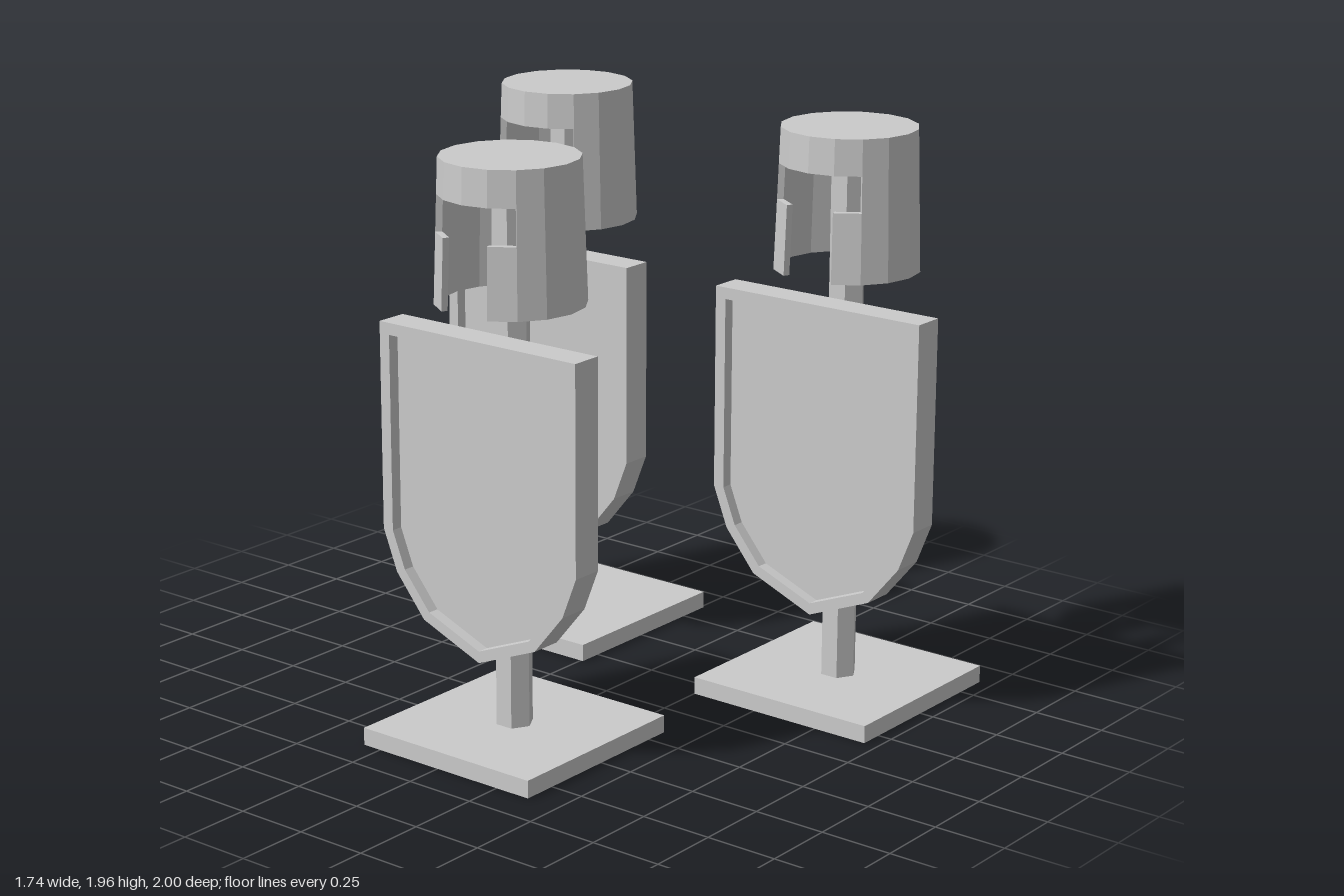
import * as THREE from 'three';

const material = new THREE.MeshStandardMaterial({ color: 0xcccccc, flatShading: true });
const SIDES = 16;        // facets around a helmet
const WALL = 0.022;      // helmet wall thickness
const HELMET_Y = 1.485, HELMET_TOP = 1.96;

function add(parent, name, geometry, x = 0, y = 0, z = 0) {
  const mesh = new THREE.Mesh(geometry, material);
  mesh.name = name;
  mesh.position.set(x, y, z);
  parent.add(mesh);
  return mesh;
}

// Helmet radius narrows towards the crown
const radiusAt = (y) => THREE.MathUtils.mapLinear(y, HELMET_Y, HELMET_TOP, 0.245, 0.228);

// Thick faceted wall between two heights, covering `count` facets from facet `start`
function wallBand(y0, y1, start, count) {
  const pos = [], index = [];
  for (let i = 0; i <= count; i++) {
    const a = ((start + i) / SIDES) * Math.PI * 2;
    const corners = [
      [radiusAt(y0), y0], [radiusAt(y1), y1],
      [radiusAt(y1) - WALL, y1], [radiusAt(y0) - WALL, y0],
    ];
    for (const [r, y] of corners) pos.push(Math.sin(a) * r, y, Math.cos(a) * r);
  }
  const quad = (a, b, c, d) => index.push(a, b, c, a, c, d);
  for (let i = 0; i < count; i++) {
    const p = i * 4, q = p + 4;
    for (let k = 0; k < 4; k++) {
      const n = (k + 1) % 4;
      quad(p + k, q + k, q + n, p + n);
    }
  }
  if (count < SIDES) {
    const e = count * 4;
    quad(0, 1, 2, 3);
    quad(e + 3, e + 2, e + 1, e);
  }
  const indexed = new THREE.BufferGeometry();
  indexed.setAttribute('position', new THREE.Float32BufferAttribute(pos, 3));
  indexed.setIndex(index);
  const geometry = indexed.toNonIndexed();
  geometry.computeVertexNormals();
  return geometry;
}

// Helmet with a T-shaped face opening towards -x
function createHelmet() {
  const helmet = new THREE.Group();
  helmet.name = 'helmet';
  const crownY = HELMET_TOP - 0.025;
  add(helmet, 'cheekWall', wallBand(HELMET_Y, 1.72, 13, 14));
  add(helmet, 'eyeLevelWall', wallBand(1.72, 1.84, 14, 12));
  add(helmet, 'browWall', wallBand(1.84, crownY, 0, SIDES));
  add(helmet, 'crown',
    new THREE.CylinderGeometry(radiusAt(HELMET_TOP), radiusAt(crownY), HELMET_TOP - crownY, SIDES),
    0, (crownY + HELMET_TOP) / 2, 0);
  return helmet;
}

// Shield outline, optionally shrunk by an inset
function shieldPoints(inset = 0) {
  const half = [[0.405, 1.39], [0.405, 0.69], [0.35, 0.55], [0.235, 0.41]];
  const point = ([u, y]) => new THREE.Vector2(
    u * (1 - inset / 0.405),
    y > 0.69 ? y - inset : 0.69 - (0.69 - y) * (1 - inset / 0.375));
  const mirrored = half.map(([u, y]) => [-u, y]);
  return [...mirrored, [0, 0.315], ...half.reverse()].map(point);
}

// Shield: solid panel plus a raised rim on the -x face
function createShield() {
  const shield = new THREE.Group();
  shield.name = 'shield';
  const rim = new THREE.Shape(shieldPoints());
  rim.holes.push(new THREE.Path(shieldPoints(0.04)));
  const extrude = (shape, depth) =>
    new THREE.ExtrudeGeometry(shape, { depth, bevelEnabled: false });
  add(shield, 'shieldPanel', extrude(new THREE.Shape(shieldPoints()), 0.07));
  add(shield, 'shieldRim', extrude(rim, 0.04), 0, 0, 0.07);
  shield.rotation.y = -Math.PI / 2;
  shield.position.set(-0.06, 0, -0.005);
  return shield;
}

function createStand() {
  const stand = new THREE.Group();
  stand.name = 'armourStand';
  add(stand, 'base', new THREE.BoxGeometry(0.7, 0.06, 0.7), 0, 0.03, 0);
  add(stand, 'pole', new THREE.CylinderGeometry(0.063, 0.063, 1.88, 6), 0, 0.998, 0);
  stand.add(createHelmet(), createShield());
  return stand;
}

export function createModel() {
  const model = new THREE.Group();
  model.name = 'armourStands';
  for (const [x, z] of [[0.517, -0.59], [0.517, 0.6], [-0.519, 0.03]]) {
    const stand = createStand();
    stand.position.set(x, 0, z);
    model.add(stand);
  }
  return model;
}
